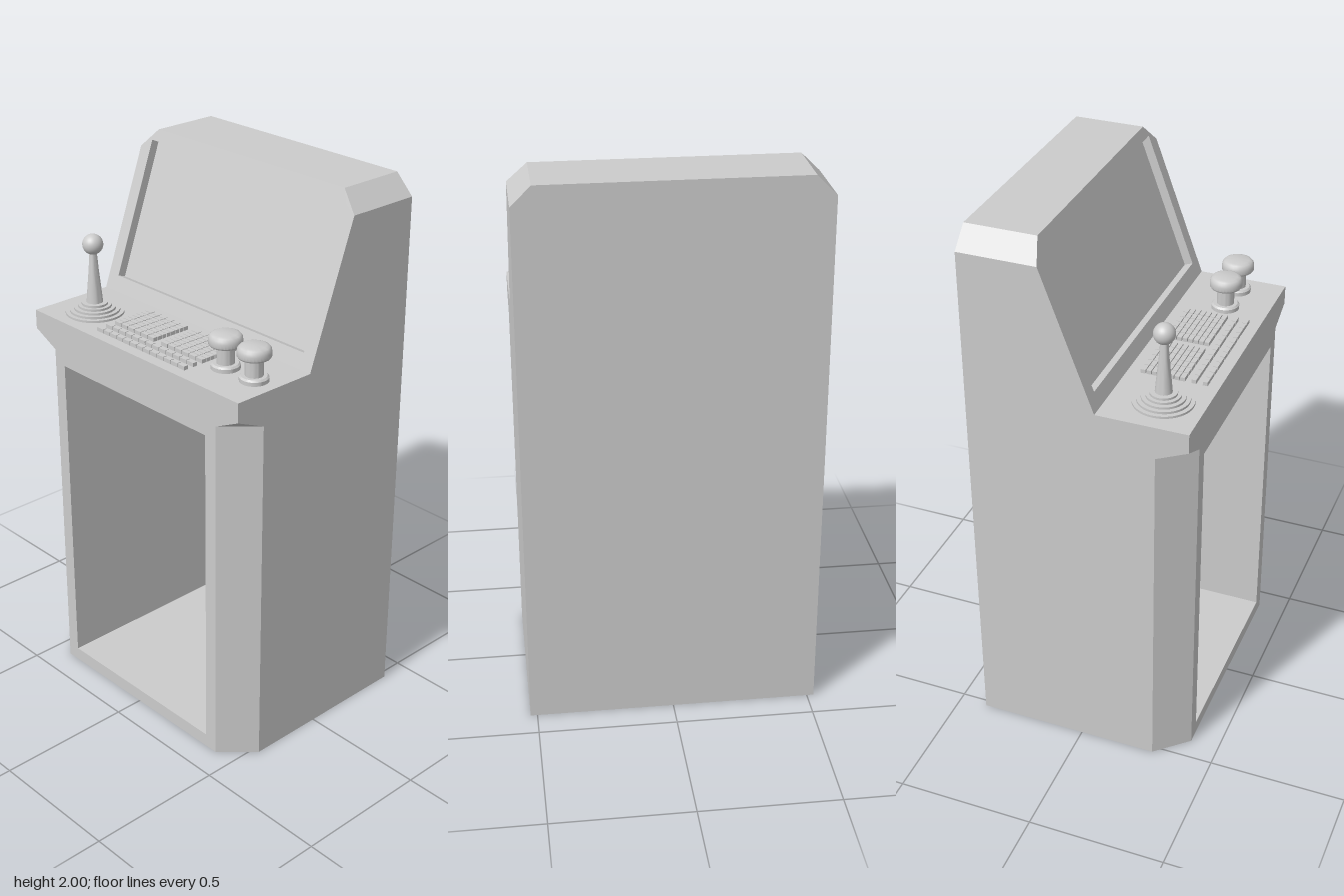
import * as THREE from 'three';
import { mergeGeometries, toCreasedNormals } from 'three/addons/utils/BufferGeometryUtils.js';

const material = new THREE.MeshStandardMaterial({ color: 0xcccccc });
const V = (x, y, z) => new THREE.Vector3(x, y, z);

function mesh(name, geometry, parent, x = 0, y = 0, z = 0) {
  const m = new THREE.Mesh(geometry, material);
  m.name = name;
  m.position.set(x, y, z);
  parent.add(m);
  return m;
}

// Flat polygon in space, corners counter-clockwise from outside, with an optional hole
function face(points, hole) {
  const n = V(0, 0, 0);
  points.forEach((p, i) => n.add(p.clone().cross(points[(i + 1) % points.length])));
  n.normalize();
  const u = points[1].clone().sub(points[0]).normalize();
  const basis = new THREE.Matrix4().makeBasis(u, n.clone().cross(u), n).setPosition(points[0]);
  const inverse = basis.clone().invert();
  const flat = (list) => list.map((p) => {
    const q = p.clone().applyMatrix4(inverse);
    return new THREE.Vector2(q.x, q.y);
  });
  const shape = new THREE.Shape(flat(points));
  if (hole) shape.holes.push(new THREE.Path(flat(hole)));
  return new THREE.ShapeGeometry(shape).applyMatrix4(basis);
}

// The same face on the +z and -z sides
const bothSides = (points) => [
  face(points),
  face(points.map((p) => V(p.x, p.y, -p.z)).reverse()),
];

// Walls and back of a pocket sunk from a loop along a direction
function pocket(loop, d) {
  const inner = loop.map((p) => p.clone().add(d));
  const walls = loop.map((a, i) => {
    const j = (i + 1) % loop.length;
    return face([a, loop[j], inner[j], inner[i]]);
  });
  return mergeGeometries([...walls, face(inner)]);
}

const lathe = (profile, segments = 32) => toCreasedNormals(
  new THREE.LatheGeometry(profile.map(([r, y]) => new THREE.Vector2(r, y)), segments), 0.6);

export function createModel() {
  const model = new THREE.Group();
  model.name = 'arcadeCabinet';

  const F = -0.395, B = 0.395, W = 0.525, DECK = 1.43;
  const slopeX = (y) => -0.07 + (y - DECK) * (0.21 / 0.57);
  const onSlope = (y, z) => V(slopeX(y), y, z);
  const onFront = (y, z) => V(F, y, z);

  // Door opening in the front, screen opening in the sloping face
  const opening = [onFront(0.05, -0.37), onFront(0.05, 0.37), onFront(1.26, 0.37), onFront(1.26, -0.37)];
  const screen = [onSlope(1.484, -0.475), onSlope(1.484, 0.475), onSlope(1.96, 0.475), onSlope(1.96, -0.475)];

  // Cabinet shell
  const shell = [
    // side panels
    ...bothSides([V(B, 0, W), V(B, 1.93, W), onSlope(1.93, W), V(-0.07, DECK, W),
      V(F, DECK, W), V(F, 1.36, W), V(-0.28, 1.31, W), V(-0.28, 0, W)]),
    // roof bevels
    ...bothSides([V(B, 1.93, W), V(B, 2, 0.455), onSlope(2, 0.455), onSlope(1.93, W)]),
    // vertical corner bevels and the small overhangs above them
    ...bothSides([V(-0.28, 0, W), V(-0.28, 1.31, W), V(F, 1.31, 0.42), V(F, 0, 0.42)]),
    ...bothSides([V(F, 1.31, 0.42), V(-0.28, 1.31, W), V(F, 1.36, W)]),
    // front
    face([onFront(0, -0.42), onFront(0, 0.42), onFront(1.31, 0.42), onFront(1.36, W),
      onFront(DECK, W), onFront(DECK, -W), onFront(1.36, -W), onFront(1.31, -0.42)], opening),
    // control deck
    face([V(F, DECK, W), V(-0.07, DECK, W), V(-0.07, DECK, -W), V(F, DECK, -W)]),
    // sloping screen surround
    face([onSlope(DECK, -W), onSlope(DECK, W), onSlope(1.93, W), onSlope(2, 0.455),
      onSlope(2, -0.455), onSlope(1.93, -W)], screen),
    // roof, back and underside
    face([onSlope(2, 0.455), V(B, 2, 0.455), V(B, 2, -0.455), onSlope(2, -0.455)]),
    face([V(B, 0, W), V(B, 0, -W), V(B, 1.93, -W), V(B, 2, -0.455), V(B, 2, 0.455), V(B, 1.93, W)]),
    face([V(B, 0, W), V(-0.28, 0, W), V(F, 0, 0.42), V(F, 0, -0.42), V(-0.28, 0, -W), V(B, 0, -W)]),
  ];
  mesh('cabinetShell', mergeGeometries(shell), model);
  mesh('frontCompartment', pocket(opening, V(0.74, 0, 0)), model);
  mesh('screenRecess', pocket(screen, V(0.03, -0.011, 0)), model);

  // Joystick on a stepped round base
  const joystick = new THREE.Group();
  joystick.name = 'joystick';
  joystick.position.set(-0.25, DECK, -0.367);
  model.add(joystick);
  const steps = [];
  [0.105, 0.09, 0.075, 0.06, 0.047].forEach((r, i) => {
    steps.push([r, i * 0.008], [r, (i + 1) * 0.008]);
  });
  mesh('joystickBase', lathe([...steps, [0, 0.04]], 40), joystick);
  mesh('joystickShaft', lathe([[0.03, 0.035], [0.025, 0.09], [0.018, 0.16], [0.013, 0.23]], 24), joystick);
  mesh('joystickBall', new THREE.SphereGeometry(0.037, 28, 18), joystick, 0, 0.255, 0);

  // Two mushroom push buttons
  const buttonProfile = [[0.05, 0], [0.05, 0.014], [0.044, 0.02], [0.031, 0.02], [0.031, 0.084],
    [0.054, 0.084], [0.058, 0.09], [0.058, 0.104], [0.056, 0.115], [0.05, 0.122], [0.04, 0.126], [0, 0.127]];
  for (const z of [0.3, 0.435]) mesh('pushButton', lathe(buttonProfile), model, -0.238, DECK, z);

  // Keyboard: two long single columns and two blocks of keys
  const keys = new THREE.Group();
  keys.name = 'keyboard';
  model.add(keys);
  const keyGeometry = new THREE.BoxGeometry(0.017, 0.016, 0.032);
  const columns = [-0.345, -0.305];
  for (let i = 0; i < 8; i++) columns.push(-0.265 + i * 0.02);
  columns.forEach((x, c) => {
    for (let row = 0; row < 13; row++) {
      if (c > 1 && row === 6) continue;
      mesh('key', keyGeometry, keys, x, DECK + 0.006, -0.2125 + row * 0.035);
    }
  });

  return model;
}
